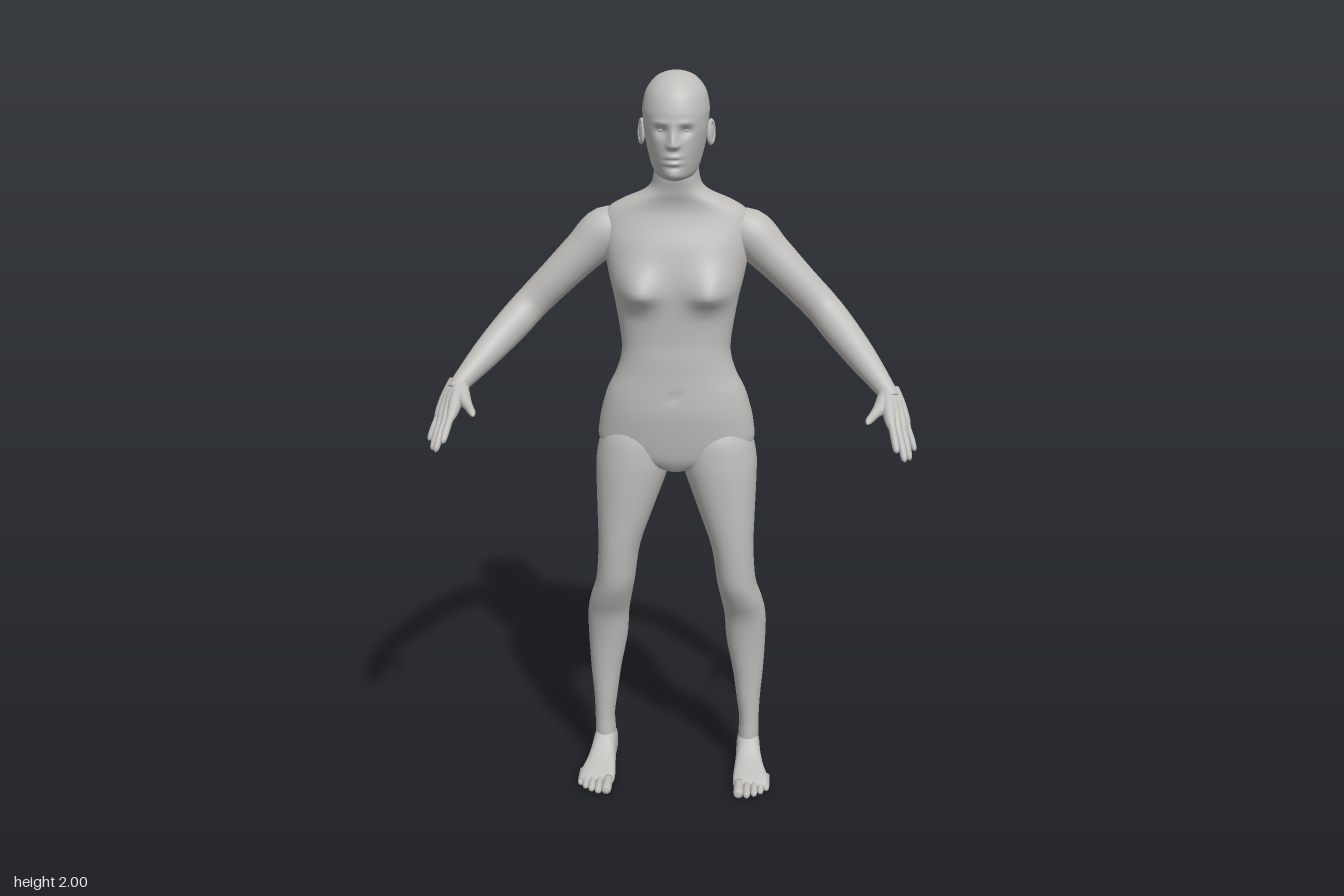
import * as THREE from 'three';

const skinTone = new THREE.MeshStandardMaterial({ color: 0xbfbdba });
skinTone.name = 'matte grey';

// Smooth sampling of a table of rows, k steps between neighbours
function smoothRows(rows, k) {
  const out = [], at = i => rows[Math.min(rows.length - 1, Math.max(0, i))];
  for (let s = 0; s <= (rows.length - 1) * k; s++) {
    const i = Math.min(rows.length - 2, Math.floor(s / k)), t = s / k - i;
    out.push(rows[i].map((_, c) => {
      const [a, b, d, e] = [at(i - 1)[c], at(i)[c], at(i + 1)[c], at(i + 2)[c]];
      return b + 0.5 * t * (d - a + t * (2 * a - 5 * b + 4 * d - e + t * (3 * (b - d) + e - a)));
    }));
  }
  return out;
}

// Closed skin over rings of points, capped at both ends
function skin(rings) {
  const n = rings[0].length, m = rings.length, pos = [], idx = [];
  rings.forEach(r => r.forEach(p => pos.push(p.x, p.y, p.z)));
  for (let i = 0; i < m - 1; i++) for (let j = 0; j < n; j++) {
    const a = i * n + j, b = i * n + (j + 1) % n;
    idx.push(a, a + n, b, b, a + n, b + n);
  }
  [0, m - 1].forEach((i, end) => {
    const c = new THREE.Vector3();
    rings[i].forEach(p => c.addScaledVector(p, 1 / n));
    pos.push(c.x, c.y, c.z);
    for (let j = 0; j < n; j++) {
      const a = i * n + j, b = i * n + (j + 1) % n;
      end ? idx.push(a, n * m + end, b) : idx.push(a, b, n * m + end);
    }
  });
  const g = new THREE.BufferGeometry();
  g.setAttribute('position', new THREE.Float32BufferAttribute(pos, 3));
  g.setIndex(idx);
  g.computeVertexNormals();
  return g;
}

// Upright form from rows [y, centre x, half width, back z, front z];
// bumps are [facing, x, y, width, height above, height below, amount], mirrored in x
function loft(rows, { n = 32, k = 4, power = 1, bumps = [], taper } = {}) {
  const pw = v => Math.sign(v) * Math.abs(v) ** power;
  return skin(smoothRows(rows, k).map(([y, cx, w, zb, zf]) => Array.from({ length: n }, (_, j) => {
    const a = j / n * Math.PI * 2, s = Math.sin(a);
    const p = new THREE.Vector3(cx + w * pw(Math.cos(a)), y, (zb + zf) / 2 + (zf - zb) / 2 * pw(s));
    if (taper) p.x *= taper(y, s);
    for (const [f, bx, by, sx, up, down, amt] of bumps) {
      const face = Math.min(1, Math.max(0, s * f * 2.5));
      const dx = (Math.abs(p.x) - bx) / sx, dy = (y - by) / (y > by ? up : down);
      p.z += f * amt * face * Math.exp(-dx * dx - dy * dy);
    }
    return p;
  })));
}

// Round limb through points [x, y, z, radius]
function limb(points, n = 14, k = 5) {
  const rows = smoothRows(points, k), ref = new THREE.Vector3(1, 0, 0);
  const V = r => new THREE.Vector3(r[0], r[1], r[2]);
  return skin(rows.map((r, i) => {
    const t = V(rows[Math.min(i + 1, rows.length - 1)]).sub(V(rows[Math.max(i - 1, 0)])).normalize();
    const u = ref.clone().cross(t).normalize(), b = t.clone().cross(u);
    return Array.from({ length: n }, (_, j) => {
      const a = j / n * Math.PI * 2;
      return V(r).addScaledVector(u, r[3] * Math.cos(a)).addScaledVector(b, -r[3] * Math.sin(a));
    });
  }));
}

export function createModel() {
  const model = new THREE.Group();
  model.name = 'figure';
  const add = (name, geo, parent = model) => {
    const mesh = new THREE.Mesh(geo, skinTone);
    mesh.name = name;
    parent.add(mesh);
    return mesh;
  };

  // Torso and neck
  add('torso', loft([
    [0.93, 0, 0.04, -0.13, -0.025], [0.96, 0, 0.15, -0.18, -0.008], [1.0, 0, 0.208, -0.205, 0],
    [1.05, 0, 0.21, -0.21, 0.006], [1.1, 0, 0.2, -0.205, 0.01], [1.15, 0, 0.185, -0.192, 0.008],
    [1.2, 0, 0.161, -0.18, 0.005], [1.25, 0, 0.147, -0.175, 0.003], [1.3, 0, 0.148, -0.177, 0],
    [1.4, 0, 0.165, -0.192, 0.003], [1.45, 0, 0.177, -0.203, 0.003], [1.5, 0, 0.187, -0.21, -0.003],
    [1.55, 0, 0.195, -0.21, -0.015], [1.6, 0, 0.2, -0.205, -0.035], [1.635, 0, 0.182, -0.195, -0.045],
    [1.66, 0, 0.142, -0.187, -0.045], [1.68, 0, 0.096, -0.178, -0.04], [1.7, 0, 0.07, -0.17, -0.036],
    [1.73, 0, 0.06, -0.162, -0.03], [1.78, 0, 0.056, -0.15, -0.03],
  ], {
    n: 72, power: 0.88, bumps: [
      [1, 0.095, 1.425, 0.052, 0.065, 0.032, 0.044], [-1, 0.09, 1.035, 0.07, 0.085, 0.07, 0.04],
      [-1, 0, 1.4, 0.025, 0.2, 0.15, -0.012], [1, 0, 1.15, 0.012, 0.012, 0.012, -0.006],
    ],
  }));

  // Head with sockets, brow, nose, lips and chin
  const head = new THREE.Group();
  head.name = 'head';
  model.add(head);
  add('skull', loft([
    [1.728, 0, 0.03, -0.1, 0.0], [1.738, 0, 0.047, -0.115, 0.03], [1.76, 0, 0.061, -0.14, 0.039],
    [1.8, 0, 0.073, -0.165, 0.04], [1.84, 0, 0.081, -0.18, 0.038], [1.88, 0, 0.085, -0.188, 0.038],
    [1.91, 0, 0.086, -0.19, 0.035], [1.95, 0, 0.077, -0.175, 0.018], [1.98, 0, 0.055, -0.147, -0.012],
    [1.994, 0, 0.03, -0.115, -0.042], [2.0, 0, 0.004, -0.08, -0.072],
  ], {
    n: 112, k: 9, power: 0.94,
    taper: (y, s) => 1 - 0.3 * Math.max(0, s) * Math.min(1, Math.max(0, (1.86 - y) / 0.1)),
    bumps: [
      [1, 0.031, 1.86, 0.017, 0.011, 0.014, -0.013], [1, 0.032, 1.881, 0.022, 0.008, 0.006, 0.004],
      [1, 0, 1.825, 0.011, 0.035, 0.008, 0.022], [1, 0.012, 1.824, 0.006, 0.008, 0.006, 0.008],
      [1, 0, 1.795, 0.02, 0.006, 0.004, 0.007], [1, 0, 1.78, 0.018, 0.004, 0.006, 0.007],
      [1, 0, 1.788, 0.024, 0.0025, 0.0025, -0.005], [1, 0, 1.769, 0.022, 0.004, 0.005, -0.005],
      [1, 0, 1.748, 0.02, 0.012, 0.01, 0.005],
    ],
  }), head);

  for (const s of [1, -1]) {
    const side = s > 0 ? 'left' : 'right';
    const part = new THREE.Group();
    part.name = side + 'Side';
    model.add(part);
    const S = rows => rows.map(([x, ...rest]) => [x * s, ...rest]);

    // Eye and ear
    const eye = add(side + 'Eye', new THREE.SphereGeometry(0.012, 16, 10), head);
    eye.position.set(0.031 * s, 1.861, 0.009);
    eye.scale.y = 0.6;
    const ear = new THREE.Group();
    ear.name = side + 'Ear';
    ear.position.set(0.09 * s, 1.842, -0.083);
    ear.rotation.set(-0.2, -0.35 * s, 0);
    head.add(ear);
    const rim = add('earRim', new THREE.TorusGeometry(0.017, 0.0055, 8, 24), ear);
    rim.rotation.y = Math.PI / 2;
    rim.scale.y = 1.55;
    add('earBowl', new THREE.SphereGeometry(0.016, 14, 10), ear).scale.set(0.35, 1.5, 1);

    // Arm
    add(side + 'Arm', limb(S([
      [0.11, 1.585, -0.125, 0.04], [0.185, 1.572, -0.125, 0.064], [0.25, 1.515, -0.115, 0.056],
      [0.32, 1.446, -0.107, 0.05], [0.387, 1.378, -0.1, 0.047], [0.435, 1.328, -0.06, 0.046],
      [0.495, 1.267, 0.005, 0.039], [0.553, 1.207, 0.075, 0.026], [0.568, 1.186, 0.098, 0.023],
    ]), 24));

    // Hand: knuckle and fingertip for each finger, merging into the palm
    const hand = new THREE.Group();
    hand.name = side + 'Hand';
    part.add(hand);
    [
      ['indexFinger', [0.565, 1.148, 0.166], [0.58, 1.088, 0.238]],
      ['middleFinger', [0.58, 1.142, 0.157], [0.602, 1.06, 0.226]],
      ['ringFinger', [0.594, 1.138, 0.143], [0.616, 1.055, 0.197]],
      ['littleFinger', [0.604, 1.138, 0.127], [0.63, 1.07, 0.165]],
    ].forEach(([name, k, t], i) => {
      const mix = (f, lift) => [0, 1, 2].map(c => k[c] + (t[c] - k[c]) * f + (c === 1 ? lift : 0));
      const start = [0.556 + i * 0.005, 1.203, 0.084 - i * 0.005];
      const mid = start.map((v, c) => (v + k[c]) / 2), r = i === 3 ? 0.0085 : 0.0098;
      add(name, limb(S([[...start, 0.02], [...mid, 0.02], [...k, 0.0145], [...mix(0.3, 0.004), r],
        [...mix(0.65, 0.004), r], [...mix(0.92, 0.001), r * 0.8], [...t, 0.002]]), 12, 4), hand);
    });
    add('thumb', limb(S([[0.556, 1.2, 0.085, 0.02], [0.542, 1.175, 0.125, 0.019],
      [0.523, 1.163, 0.16, 0.012], [0.509, 1.156, 0.19, 0.0095], [0.505, 1.152, 0.205, 0.002]]), 12), hand);

    // Leg
    add(side + 'Leg', loft([
      [0.05, 0.207, 0.028, -0.168, -0.085], [0.1, 0.207, 0.029, -0.167, -0.083],
      [0.15, 0.208, 0.028, -0.166, -0.085], [0.22, 0.205, 0.034, -0.169, -0.083],
      [0.3, 0.203, 0.043, -0.176, -0.08], [0.4, 0.196, 0.055, -0.182, -0.071],
      [0.48, 0.193, 0.058, -0.18, -0.056], [0.54, 0.182, 0.057, -0.166, -0.029],
      [0.6, 0.168, 0.054, -0.152, -0.008], [0.7, 0.157, 0.058, -0.152, 0.001],
      [0.8, 0.141, 0.076, -0.167, 0.004], [0.9, 0.124, 0.096, -0.197, 0.005],
      [0.96, 0.114, 0.105, -0.216, 0.003], [1.02, 0.107, 0.097, -0.205, -0.005],
      [1.08, 0.1, 0.07, -0.17, -0.03],
    ].map(([y, x, ...r]) => [y, x * s, ...r]), { power: 0.93 }), part);

    // Foot, lofted heel to ball and laid flat
    add(side + 'Foot', loft([
      [-0.186, 0.205, 0.012, -0.045, -0.018], [-0.178, 0.205, 0.026, -0.072, -0.003],
      [-0.15, 0.206, 0.032, -0.105, 0], [-0.11, 0.207, 0.034, -0.112, 0], [-0.08, 0.209, 0.035, -0.096, -0.002],
      [-0.04, 0.212, 0.041, -0.067, -0.003], [0, 0.217, 0.049, -0.046, -0.001],
      [0.03, 0.219, 0.05, -0.032, 0], [0.046, 0.214, 0.04, -0.022, -0.004],
    ].map(([z, x, ...r]) => [z, x * s, ...r]), { power: 0.8 }).rotateX(Math.PI / 2), part);

    // Toes, large to small
    [[0.186, 0.096, 0.0145], [0.209, 0.093, 0.0105], [0.229, 0.082, 0.01],
      [0.247, 0.067, 0.0095], [0.263, 0.047, 0.009]].forEach(([x, z, r], i) =>
      add('toe' + (i + 1), limb(S([[x, 0.018, z - 0.065, r], [x, 0.018, z - 0.035, r * 0.95],
        [x, r + 0.002, z - 0.016, r], [x, r, z - 0.004, r * 0.8], [x, r, z, 0.002]]), 12, 4), part));
  }
  return model;
}
